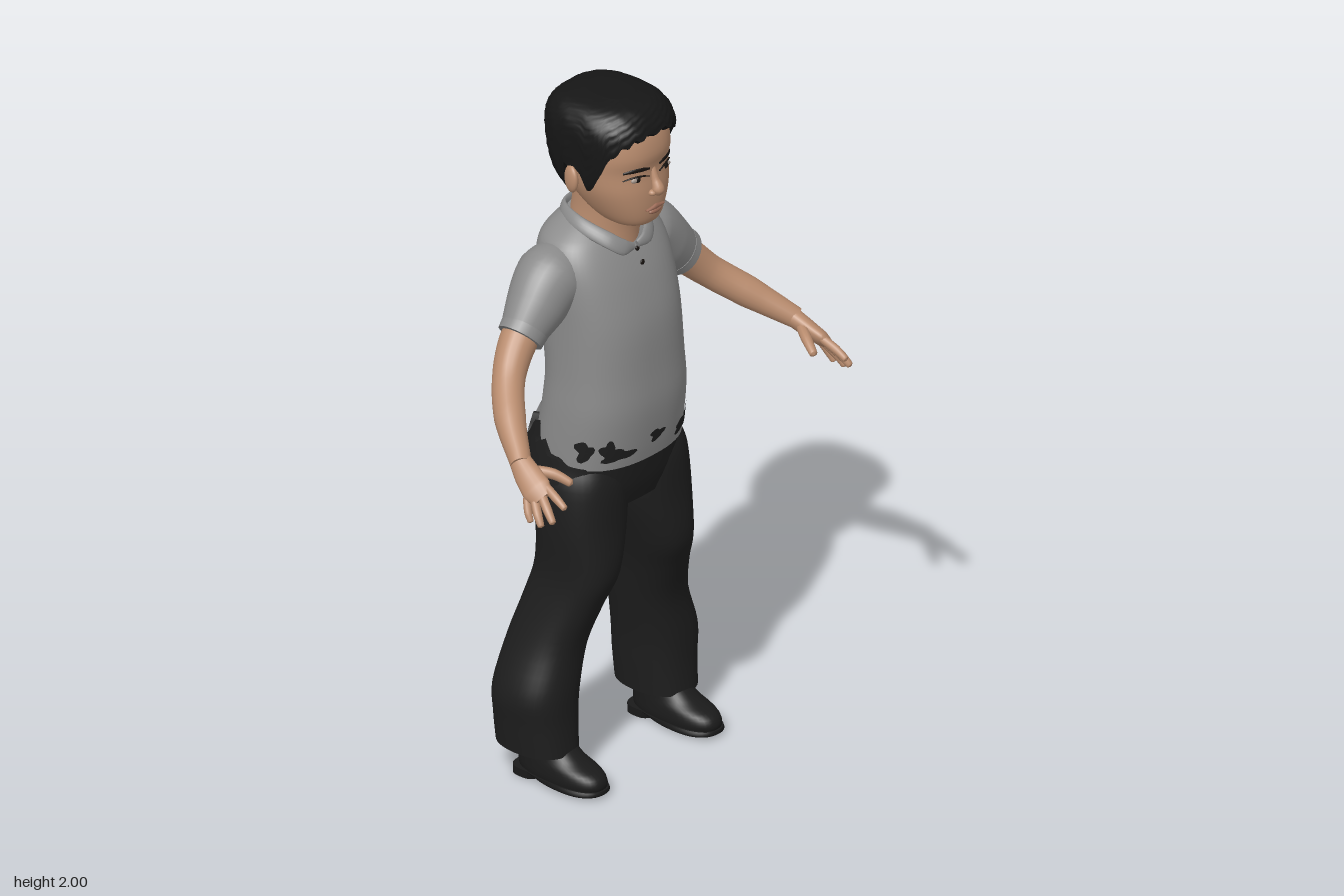
import * as THREE from 'three';

const mat = (name, color) => Object.assign(new THREE.MeshStandardMaterial({ color }), { name });
const V = (x, y, z) => new THREE.Vector3(x, y, z);
const TAU = Math.PI * 2;

// Smooth closed skin through rings of points, capped at both ends
function skin(rings) {
  const n = rings[0].length, pos = [], idx = [];
  const put = (p) => pos.push(p.x, p.y, p.z) / 3 - 1;
  rings.forEach((r) => r.forEach(put));
  for (let j = 0; j < rings.length - 1; j++)
    for (let i = 0; i < n; i++) {
      const a = j * n + i, b = j * n + (i + 1) % n;
      idx.push(a, a + n, b, b, a + n, b + n);
    }
  [rings[0], rings[rings.length - 1]].forEach((ring, end) => {
    const c = put(ring.reduce((s, p) => s.add(p), V(0, 0, 0)).divideScalar(n));
    const k = ring.map(put);
    k.forEach((a, i) => {
      const b = k[(i + 1) % n];
      end ? idx.push(c, b, a) : idx.push(c, a, b);
    });
  });
  const g = new THREE.BufferGeometry();
  g.setAttribute('position', new THREE.Float32BufferAttribute(pos, 3));
  g.setIndex(idx);
  g.computeVertexNormals();
  return g;
}

// Upright form from keys [y, centreX, front z, back z, half width], with superellipse power p
function form(keys, p = 2.3) {
  const at = (t) => {
    const i = Math.min(Math.floor(t), keys.length - 2), f = t - i;
    const k = (j) => keys[Math.max(0, Math.min(keys.length - 1, j))];
    return keys[0].map((_, c) => {
      const a = k(i)[c], b = k(i + 1)[c], ma = (b - k(i - 1)[c]) / 2, mb = (k(i + 2)[c] - a) / 2;
      return a + ma * f + (3 * (b - a) - 2 * ma - mb) * f * f + (2 * (a - b) + ma + mb) * f * f * f;
    });
  };
  const tAt = (y) => {
    let lo = 0, hi = keys.length - 1;
    for (let i = 0; i < 24; i++) {
      const m = (lo + hi) / 2;
      if (at(m)[0] < y) lo = m; else hi = m;
    }
    return lo;
  };
  const pw = (v) => Math.sign(v) * Math.abs(v) ** (2 / p);
  const point = (th, t, k = 1) => {
    const [y, cx, f, b, w] = at(t);
    return V(cx + w * k * pw(Math.cos(th)), y, (f + b) / 2 + (f - b) / 2 * k * pw(Math.sin(th)));
  };
  // Point on the front surface at a given x and y
  const onFront = (x, y, off = 0) => {
    const t = tAt(y), [, cx, , , w] = at(t), q = (x - cx) / w;
    const v = point(Math.acos(Math.sign(q) * Math.abs(q) ** (p / 2)), t);
    v.z += off;
    return v;
  };
  const build = ({ n = 40, rows = 32, lo, hi, bump } = {}) => {
    const angles = Array.from({ length: n }, (_, i) => i / n * TAU);
    const t0 = angles.map((a) => lo ? tAt(lo(a)) : 0);
    const t1 = angles.map((a) => hi ? tAt(hi(a)) : keys.length - 1);
    return skin(Array.from({ length: rows + 1 }, (_, j) => angles.map((a, i) => {
      const t = t0[i] + (t1[i] - t0[i]) * j / rows;
      return point(a, t, bump ? bump(a, t) : 1);
    })));
  };
  return { onFront, build };
}

// Tapered limb along points [x, y, z, radius, second radius]; ref sets the wide direction
function limb(pts, s = 1, ref = [0, 0, 1], n = 14, steps = 5) {
  const curve = new THREE.CatmullRomCurve3(pts.map((q) => V(q[0] * s, q[1], q[2])));
  const N = (pts.length - 1) * steps, R = V(ref[0] * s, ref[1], ref[2]);
  return skin(Array.from({ length: N + 1 }, (_, j) => {
    const f = j / N, g = f * (pts.length - 1), i = Math.min(Math.floor(g), pts.length - 2);
    const rad = (c) => THREE.MathUtils.lerp(pts[i][c] ?? pts[i][3], pts[i + 1][c] ?? pts[i + 1][3], g - i);
    const c = curve.getPoint(f), T = curve.getTangent(f);
    const u = R.clone().addScaledVector(T, -T.dot(R)).normalize(), v = u.clone().cross(T);
    return Array.from({ length: n }, (_, k) => c.clone()
      .addScaledVector(u, rad(3) * Math.cos(k / n * TAU)).addScaledVector(v, rad(4) * Math.sin(k / n * TAU)));
  }));
}

export function createModel() {
  const model = new THREE.Group();
  const skinTone = mat('skin', 0xb98c6e), grey = mat('shirt grey', 0x8a8a8a), cloth = mat('trouser black', 0x1d1d1d);
  const hairMat = mat('hair black', 0x161616), shoeMat = mat('shoe black', 0x1a1a1a);
  const lip = mat('lips', 0x9a6a56), white = mat('eye white', 0xa89a90), dark = mat('dark detail', 0x17120f);
  const add = (name, g, m) => {
    const o = new THREE.Mesh(g, m);
    o.name = name;
    model.add(o);
    return o;
  };
  const ball = (name, p, sx, sy, sz, m) => {
    const o = add(name, new THREE.SphereGeometry(1, 20, 14), m);
    o.position.copy(p);
    o.scale.set(sx, sy, sz);
    return o;
  };

  // Head and neck
  const head = form([[1.635, 0, 0.045, -0.06, 0.045], [1.65, 0, 0.072, -0.1, 0.072], [1.69, 0, 0.083, -0.15, 0.099],
    [1.75, 0, 0.085, -0.195, 0.125], [1.81, 0, 0.079, -0.215, 0.134], [1.86, 0, 0.087, -0.22, 0.135],
    [1.92, 0, 0.073, -0.21, 0.128], [1.96, 0, 0.04, -0.18, 0.1], [1.975, 0, 0, -0.14, 0.05]]);
  add('head', head.build(), skinTone);
  add('neck', form([[1.5, 0, 0, -0.18, 0.09], [1.6, 0, 0.0, -0.195, 0.088], [1.66, 0, 0.01, -0.19, 0.084],
    [1.72, 0, 0.02, -0.18, 0.085]], 2).build({ rows: 12 }), skinTone);

  // Short hair: hairline height depends on how far forward the angle lies
  const line = [[-1, 1.715], [-0.3, 1.72], [-0.15, 1.82], [0.05, 1.82], [0.13, 1.75], [0.33, 1.76],
    [0.5, 1.85], [0.75, 1.9], [1, 1.925]];
  const hairline = (a) => {
    const f = Math.sin(a), i = Math.max(1, line.findIndex((q) => f <= q[0] + 1e-9)), [p, q] = [line[i - 1], line[i]];
    return p[1] + (q[1] - p[1]) * (f - p[0]) / (q[0] - p[0]) + 0.006 * Math.sin(a * 23);
  };
  add('hair', form([[1.7, 0, 0.03, -0.185, 0.1], [1.77, 0, 0.06, -0.222, 0.137], [1.85, 0, 0.09, -0.247, 0.148],
    [1.92, 0, 0.09, -0.248, 0.149], [1.96, 0, 0.07, -0.235, 0.135], [1.985, 0, 0.04, -0.205, 0.105],
    [1.998, 0, -0.01, -0.15, 0.05]], 2.6)
    .build({ n: 80, lo: hairline, bump: (a, t) => 1 + 0.012 * Math.sin(a * 17 + t * 5) * Math.sin(t * 9 + a * 3) }), hairMat);

  // Face
  add('nose', limb([[0, 1.815, 0.07, 0.01], [0, 1.78, 0.083, 0.012], [0, 1.755, 0.094, 0.018], [0, 1.742, 0.09, 0.012]],
    1, [1, 0, 0]), skinTone);
  add('upperLip', limb([-0.034, -0.01, 0, 0.01, 0.034].map((x) => {
    const q = head.onFront(x, 1.7 - Math.abs(x) * 0.1, 0.001);
    return [x, q.y, q.z, 0.002 + 0.006 * (1 - Math.abs(x) / 0.034), 0.006];
  }), 1, [0, 1, 0]), lip);
  ball('lowerLip', head.onFront(0, 1.687, 0), 0.024, 0.008, 0.008, lip);
  for (const s of [1, -1]) {
    ball('nostril', V(0.016 * s, 1.747, 0.086), 0.011, 0.009, 0.012, skinTone);
    ball('eye', head.onFront(0.055 * s, 1.796, -0.004), 0.022, 0.009, 0.007, white);
    ball('iris', head.onFront(0.055 * s, 1.796, 0), 0.009, 0.009, 0.005, dark);
    const stroke = (y, r, arc) => limb([0.02, 0.045, 0.07, 0.092].map((x, i) => {
      const q = head.onFront(x, y + arc * Math.sin(i / 3 * Math.PI), 0.001);
      return [x, q.y, q.z, i % 3 ? r : r * 0.5, 0.003];
    }), s, [0, 1, 0]);
    add('eyebrow', stroke(1.82, 0.006, 0.005), dark);
    add('eyelashLine', stroke(1.797, 0.0025, 0.008), dark);
    const ear = ball('ear', V(0.144 * s, 1.778, -0.088), 0.014, 0.04, 0.028, skinTone);
    ear.rotation.y = 0.3 * s;
  }

  // Shirt body, collar and buttons
  const shirt = form([[0.94, 0, 0.075, -0.235, 0.21], [1.0, 0, 0.085, -0.236, 0.21], [1.1, 0, 0.095, -0.22, 0.207],
    [1.2, 0, 0.09, -0.215, 0.2], [1.34, 0, 0.08, -0.235, 0.198], [1.45, 0, 0.05, -0.24, 0.2], [1.52, 0, 0.02, -0.245, 0.197],
    [1.57, 0, -0.01, -0.24, 0.178], [1.6, 0, -0.035, -0.225, 0.143], [1.625, 0, -0.06, -0.205, 0.1]], 2.4);
  add('shirtBody', shirt.build({ n: 56 }), grey);
  for (const s of [1, -1])
    add('collar', limb([[0, 1.618, -0.215, 0.02, 0.008], [0.07, 1.625, -0.185, 0.02, 0.008], [0.104, 1.622, -0.1, 0.02, 0.008],
      [0.08, 1.592, -0.015, 0.022, 0.008], [0.045, 1.565, 0.012, 0.022, 0.007], [0.008, 1.555, 0.012, 0.01, 0.006]],
    s, [0.6, -0.8, 0.2]), grey);
  for (const y of [1.54, 1.505]) ball('button', shirt.onFront(0.01, y, 0.001), 0.008, 0.008, 0.004, dark);

  // Dark ragged patches along the front hem
  const patch = (x0, y0, rx, ry, seed) => {
    const pos = [], idx = [], n = 24;
    for (let r = 0; r <= 3; r++)
      for (let i = 0; i < n; i++) {
        const a = i / n * TAU, k = r / 3 * (1 + 0.25 * Math.sin(a * 3 + seed) + 0.12 * Math.sin(a * 5));
        const q = shirt.onFront(x0 + rx * k * Math.cos(a), y0 + ry * k * Math.sin(a), 0.004);
        pos.push(q.x, q.y, q.z);
        const b = r * n + i, c = r * n + (i + 1) % n;
        if (r < 3) idx.push(b, b + n, c, c, b + n, c + n);
      }
    const g = new THREE.BufferGeometry();
    g.setAttribute('position', new THREE.Float32BufferAttribute(pos, 3));
    g.setIndex(idx);
    g.computeVertexNormals();
    return g;
  };
  add('hemPatch', patch(0, 1.01, 0.026, 0.017, 1), cloth);
  for (const s of [1, -1]) {
    add('hemPatch', patch(0.125 * s, 0.985, 0.045, 0.018, 2), cloth);
    add('hemPatch', patch(0.152 * s, 1.008, 0.018, 0.022, 4), cloth);
    add('hemPatch', patch(0.194 * s, 1.0, 0.011, 0.03, 1), cloth);
  }

  // Trouser seat with a ragged upper edge around the back
  const ragged = (a) => {
    const back = THREE.MathUtils.smoothstep(-Math.sin(a), -0.35, 0.2);
    const tooth = Math.sin(a * 9 + 1) + 0.7 * Math.sin(a * 16) + 0.4 * Math.cos(a * 23);
    return 0.945 + back * (0.055 + 0.022 * tooth);
  };
  add('trouserSeat', form([[0.8, 0, 0.035, -0.19, 0.2], [0.86, 0, 0.05, -0.23, 0.236], [0.94, 0, 0.06, -0.266, 0.228],
    [1.0, 0, 0.065, -0.259, 0.219], [1.06, 0, 0.065, -0.24, 0.214], [1.1, 0, 0.06, -0.23, 0.21]], 2.4)
    .build({ n: 96, rows: 24, hi: ragged }), cloth);

  for (const s of [1, -1]) {
    // Flared trouser leg
    add('trouserLeg', form([[0.095, 0.237, -0.008, -0.245, 0.09], [0.18, 0.237, -0.015, -0.25, 0.098],
      [0.27, 0.235, -0.015, -0.25, 0.104], [0.4, 0.2, -0.012, -0.235, 0.092], [0.52, 0.17, 0.025, -0.207, 0.085],
      [0.62, 0.146, 0.06, -0.188, 0.09], [0.76, 0.128, 0.053, -0.19, 0.115], [0.88, 0.12, 0.048, -0.24, 0.118],
      [0.94, 0.118, 0.03, -0.245, 0.1]].map(([y, x, ...r]) => [y, x * s, ...r])).build(), cloth);

    // Shoe, sole and heel
    const cx = 0.228 * s;
    add('shoe', form([[0.015, cx, 0.095, -0.18, 0.06], [0.035, cx, 0.102, -0.185, 0.063], [0.06, cx, 0.085, -0.187, 0.06],
      [0.085, cx, 0.02, -0.186, 0.055], [0.13, cx, -0.04, -0.18, 0.05]], 2.4).build({ rows: 16 }), shoeMat);
    add('sole', form([[0.004, cx, 0.088, -0.1, 0.058], [0.012, cx, 0.105, -0.13, 0.067], [0.024, cx, 0.105, -0.188, 0.066]],
      2.4).build({ rows: 6 }), shoeMat);
    add('heel', form([[0, cx, -0.1, -0.19, 0.058], [0.025, cx, -0.09, -0.19, 0.06]], 3).build({ rows: 2 }), shoeMat);

    // Sleeve and cuff
    add('sleeve', limb([[0.11, 1.485, -0.13, 0.085], [0.185, 1.475, -0.128, 0.095, 0.1], [0.255, 1.418, -0.12, 0.08, 0.085],
      [0.315, 1.365, -0.113, 0.06, 0.064]], s, [0, 0, 1], 28, 8), grey);
    add('cuff', limb([[0.3, 1.378, -0.114, 0.066, 0.069], [0.322, 1.358, -0.112, 0.063, 0.067]], s, [0, 0, 1], 28), grey);

    // Arm, palm, fingers and thumb
    add('arm', limb([[0.25, 1.42, -0.12, 0.052], [0.33, 1.35, -0.112, 0.052], [0.4, 1.28, -0.082, 0.045],
      [0.475, 1.212, -0.01, 0.043], [0.548, 1.142, 0.095, 0.029]], s, [0, 0, 1], 20), skinTone);
    const across = [0.04, -0.035, -0.05];
    add('palm', limb([[0.54, 1.15, 0.08, 0.029, 0.026], [0.555, 1.122, 0.125, 0.038, 0.024],
      [0.568, 1.098, 0.17, 0.042, 0.02], [0.574, 1.084, 0.198, 0.03, 0.01]], s, across, 18), skinTone);
    const finger = (name, a, m, b, r) => add(name,
      limb([[...a, r], [...m, r], [...b, r * 0.75], [...b.map((v, i) => v + (v - m[i]) * 0.12), r * 0.2]], s, [0, 1, 0.3], 10), skinTone);
    finger('indexFinger', [0.552, 1.11, 0.185], [0.558, 1.09, 0.23], [0.56, 1.072, 0.262], 0.0125);
    finger('middleFinger', [0.566, 1.095, 0.18], [0.584, 1.062, 0.222], [0.592, 1.036, 0.248], 0.013);
    finger('ringFinger', [0.578, 1.083, 0.168], [0.598, 1.045, 0.2], [0.605, 1.02, 0.218], 0.0125);
    finger('littleFinger', [0.586, 1.075, 0.15], [0.6, 1.04, 0.168], [0.604, 1.02, 0.18], 0.011);
    finger('thumb', [0.54, 1.13, 0.12], [0.505, 1.122, 0.172], [0.484, 1.102, 0.215], 0.015);
  }
  return model;
}
